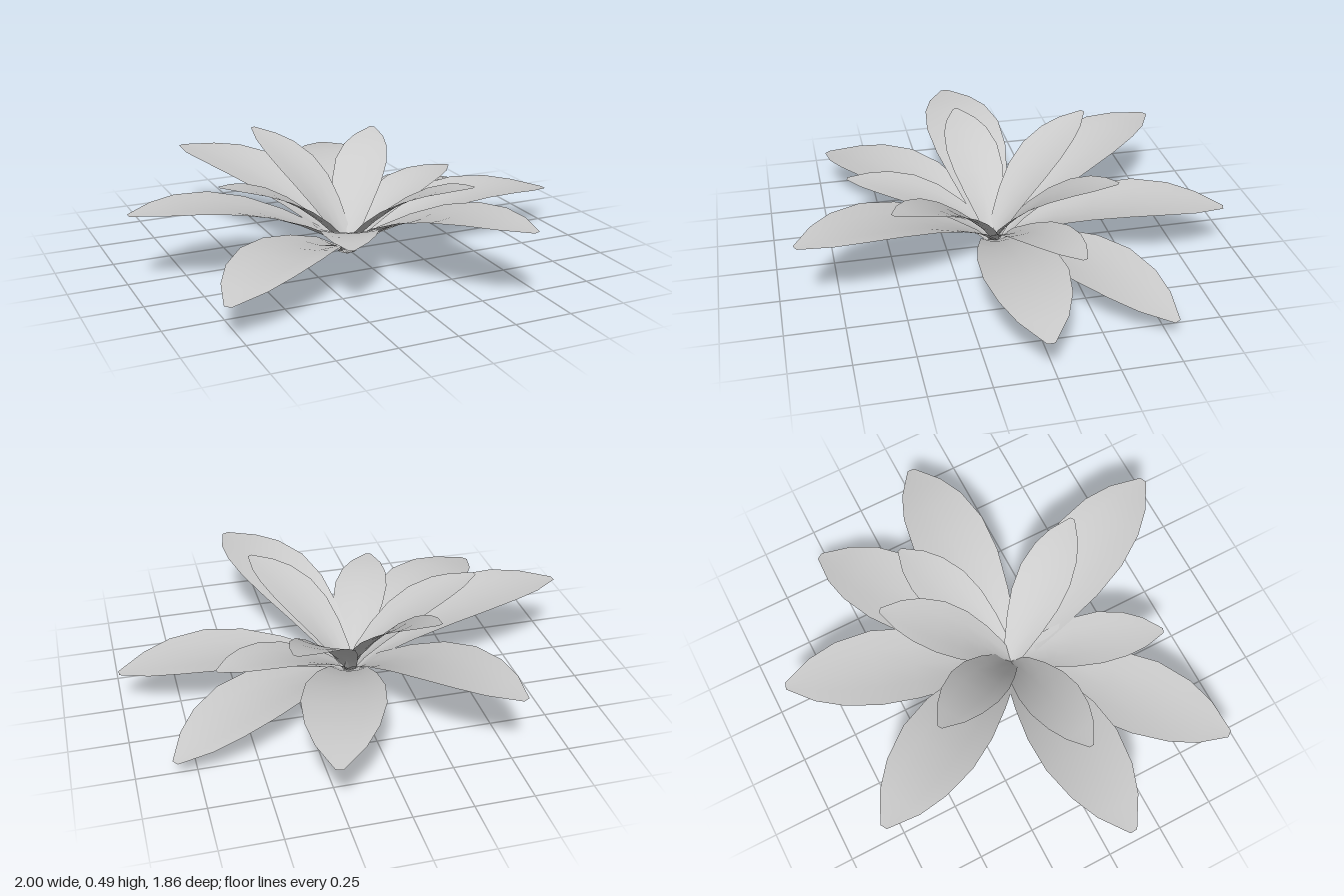
import * as THREE from 'three';

// Leaf rows from root to tip: distance along, height, half width, edge lift
const ROWS = [
  [-0.02, -0.01, 0.04, 0.012],
  [0.12, 0.07, 0.085, 0.025],
  [0.28, 0.13, 0.13, 0.025],
  [0.45, 0.175, 0.166, 0.022],
  [0.62, 0.195, 0.175, 0.018],
  [0.78, 0.192, 0.148, 0.01],
  [0.9, 0.175, 0.1, 0.004],
  [1.02, 0.15, 0.016, 0],
];
const ROOT = new THREE.Vector3(-0.02, 0.02, 0.03);
const TIP_LENGTH = Math.hypot(1.02, 0.15);
const TIP_ANGLE = Math.atan2(0.15, 1.02);

// Leaf tips (x, y, z)
const OUTER = [
  [0.27, 0.23, -0.93], [0.84, 0.075, -0.53], [1.0, 0.17, 0.03], [0.38, 0.33, 0.92],
  [-0.8, 0.145, 0.7], [-1.0, 0.33, 0.08], [-0.51, 0.335, -0.82],
];
const INNER = [
  [-0.28, 0.49, -0.44], [0.32, 0.43, -0.43], [0.61, 0.265, -0.21],
  [0.33, 0.4, 0.52], [-0.28, 0.265, 0.65], [-0.62, 0.4, 0.09],
];

// Arched, slightly cupped leaf pointing along +z
function leafGeometry() {
  const cols = 4;
  const geo = new THREE.PlaneGeometry(1, 1, cols, ROWS.length - 1);
  const pos = geo.attributes.position;
  for (let i = 0; i < pos.count; i++) {
    const [along, height, half, lift] = ROWS[Math.floor(i / (cols + 1))];
    const u = ((i % (cols + 1)) / cols) * 2 - 1;
    pos.setXYZ(i, u * half, height + lift * (u * u - 0.4), along);
  }
  geo.computeVertexNormals();
  return geo;
}

export function createModel() {
  const plant = new THREE.Group();
  plant.name = 'leafRosette';
  const geo = leafGeometry();
  const mat = new THREE.MeshStandardMaterial({ color: 0xcccccc, side: THREE.DoubleSide });

  // Turn, pitch and scale one leaf so that it runs from the root to its tip
  const addLeaf = (name, tip) => {
    const d = new THREE.Vector3(...tip).sub(ROOT);
    const leaf = new THREE.Mesh(geo, mat);
    leaf.name = name;
    leaf.position.copy(ROOT);
    leaf.rotation.order = 'YXZ';
    leaf.rotation.y = Math.atan2(d.x, d.z);
    leaf.rotation.x = TIP_ANGLE - Math.atan2(d.y, Math.hypot(d.x, d.z));
    leaf.scale.setScalar(d.length() / TIP_LENGTH);
    plant.add(leaf);
  };
  OUTER.forEach((tip, i) => addLeaf(`outerLeaf${i + 1}`, tip));
  INNER.forEach((tip, i) => addLeaf(`innerLeaf${i + 1}`, tip));
  return plant;
}
